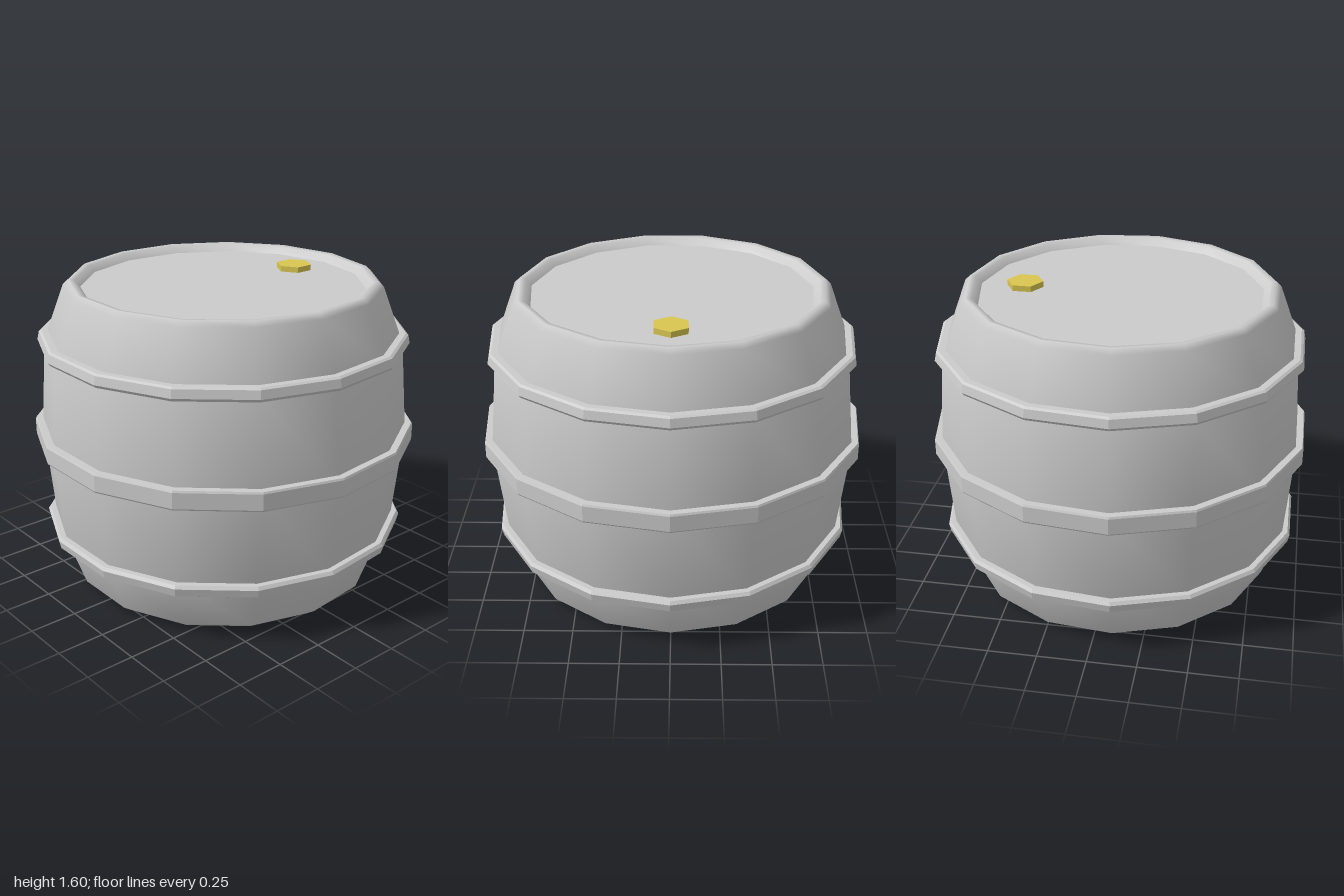
import * as THREE from 'three';

const SIDES = 15;
const MIDDLE = 0.807;

// Revolve [radius, height] pairs, with one corner pointing to the back
function revolve(profile) {
  const points = profile.map(([r, y]) => new THREE.Vector2(r, y));
  return new THREE.LatheGeometry(points, SIDES, Math.PI);
}

function addMesh(group, name, geometry, options = {}) {
  const material = new THREE.MeshStandardMaterial({ color: 0xcccccc, ...options });
  const mesh = new THREE.Mesh(geometry, material);
  mesh.name = name;
  group.add(mesh);
  return mesh;
}

export function createModel() {
  const group = new THREE.Group();
  group.name = 'barrel';

  // Bulging body with a rounded rim turning in to the lid
  const body = revolve([
    [0, 0.005], [0.765, 0.005], [0.818, 0.045], [0.915, 0.32], [0.97, MIDDLE],
    [0.922, 1.285], [0.812, 1.575], [0.785, 1.6], [0.755, 1.595], [0.725, 1.56],
  ]);
  // The widest ring is slightly narrower front to back
  const pos = body.attributes.position;
  for (let i = 0; i < pos.count; i++) {
    if (Math.abs(pos.getY(i) - MIDDLE) < 0.01) pos.setZ(i, pos.getZ(i) * 0.982);
  }
  addMesh(group, 'body', body);

  // Flat sunken lid
  addMesh(group, 'lid', revolve([[0.725, 1.56], [0, 1.56]]), { flatShading: true });

  // Middle hoop
  const middleHoop = revolve([
    [0.94, 0.757], [1.0, 0.757], [1.005, 0.765], [1.005, 0.847], [1.0, 0.857], [0.94, 0.857],
  ]);
  addMesh(group, 'middleHoop', middleHoop, { flatShading: true }).scale.z = 0.984;

  // Upper and lower hoops, mirrored about the middle
  const hoop = [[0.87, 1.272], [0.945, 1.272], [0.957, 1.288], [0.948, 1.33], [0.935, 1.338], [0.86, 1.338]];
  const mirrored = hoop.map(([r, y]) => [r, 2 * MIDDLE - 0.005 - y]).reverse();
  addMesh(group, 'upperHoop', revolve(hoop), { flatShading: true });
  addMesh(group, 'lowerHoop', revolve(mirrored), { flatShading: true });

  // Hexagonal bung near the back of the lid
  const bung = new THREE.CylinderGeometry(0.094, 0.094, 0.035, 6);
  addMesh(group, 'bung', bung, { color: 0xd9c650, flatShading: true }).position.set(0, 1.572, -0.495);

  // Centre the odd-sided outline from front to back
  group.children.forEach((part) => { part.position.z += 0.01; });
  group.children.forEach((part) => { part.position.y -= 0.003; });
  return group;
}
